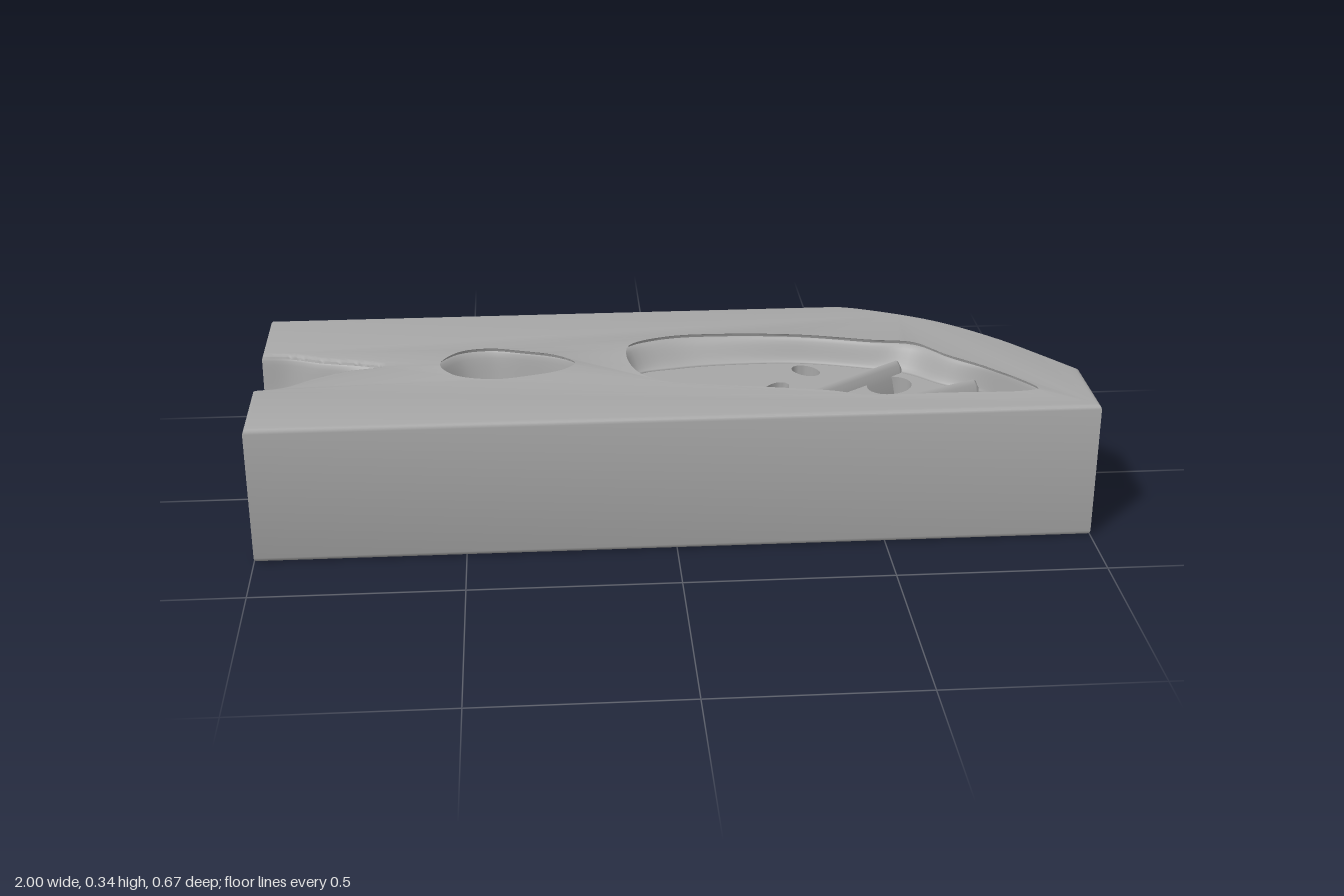
import * as THREE from 'three';
import { toCreasedNormals } from 'three/addons/utils/BufferGeometryUtils.js';

const HEIGHT = 0.345, MID = HEIGHT / 2, BEVEL = 0.012;
const v2 = ([x, z]) => new THREE.Vector2(x, -z); // plan (x, z) to shape space

// Smooth plan curve through a few points, sampled by parameter so paired curves correspond
function smooth(points, closed, n = 96) {
  const curve = new THREE.CatmullRomCurve3(points.map(([x, z]) => new THREE.Vector3(x, 0, z)), closed, 'centripetal');
  const out = [];
  for (let i = 0; i < (closed ? n : n + 1); i++) {
    const p = curve.getPoint(i / n);
    out.push([p.x, p.z]);
  }
  return out;
}

function ellipse(cx, cz, rx, rz, angle = 0) {
  return Array.from({ length: 24 }, (_, i) => {
    const a = i / 24 * Math.PI * 2, u = rx * Math.cos(a), w = rz * Math.sin(a);
    return [cx + u * Math.cos(angle) - w * Math.sin(angle), cz + u * Math.sin(angle) + w * Math.cos(angle)];
  });
}

// Upright slab centred on mid height, with through holes
function slab(outline, holes, half, bevel) {
  const shape = new THREE.Shape(outline.map(v2));
  holes.forEach(h => shape.holes.push(new THREE.Path(h.map(v2))));
  const depth = 2 * (half - bevel);
  const geo = new THREE.ExtrudeGeometry(shape, {
    depth, bevelEnabled: bevel > 0, bevelThickness: bevel, bevelSize: bevel, bevelOffset: -bevel, bevelSegments: 3
  });
  geo.translate(0, 0, -depth / 2).rotateX(-Math.PI / 2).translate(0, MID, 0);
  return toCreasedNormals(geo, 0.6);
}

// Soft wall from the top rim in to the web edge, down it, and out to the bottom rim
function pocketWall(rim, inner, closed, webHalf) {
  const n = rim.length, steps = 8, rings = [], top = MID - BEVEL;
  for (let k = 0; k <= steps; k++) {
    const s = k / steps;
    rings.push([s, top + (webHalf - top) * s * s * (3 - 2 * s)]);
  }
  for (let k = steps; k >= 0; k--) rings.push([rings[k][0], -rings[k][1]]);
  const pos = [], index = [];
  rings.forEach(([s, y]) => rim.forEach(([x, z], i) =>
    pos.push(x + (inner[i][0] - x) * s, MID + y, z + (inner[i][1] - z) * s)));
  for (let k = 0; k < rings.length - 1; k++) {
    for (let i = 0; i < (closed ? n : n - 1); i++) {
      const a = k * n + i, b = k * n + (i + 1) % n;
      index.push(a, b, a + n, b, b + n, a + n);
    }
  }
  const geo = new THREE.BufferGeometry();
  geo.setAttribute('position', new THREE.Float32BufferAttribute(pos, 3));
  geo.setIndex(index);
  geo.computeVertexNormals();
  return geo;
}

export function createModel() {
  const group = new THREE.Group();
  const grey = new THREE.MeshStandardMaterial({ color: 0xa6a6a6, side: THREE.DoubleSide });
  grey.name = 'grey';
  const add = (name, geo) => {
    const mesh = new THREE.Mesh(geo, grey);
    mesh.name = name;
    group.add(mesh);
    return mesh;
  };

  // Notch in the left end: face rim and narrower throat
  const notchRim = smooth([[-1, 0.105], [-0.93, 0.09], [-0.86, 0.04], [-0.78, 0.0], [-0.7, -0.022],
    [-0.75, -0.045], [-0.85, -0.07], [-0.93, -0.1], [-1, -0.105]], false);
  const notchThroat = smooth([[-1, 0.09], [-0.94, 0.075], [-0.88, 0.035], [-0.82, 0.005], [-0.788, -0.012],
    [-0.815, -0.03], [-0.88, -0.055], [-0.94, -0.085], [-1, -0.095]], false);

  // Small oval pocket
  const smallRim = smooth([[-0.57, -0.02], [-0.52, -0.1], [-0.44, -0.12], [-0.36, -0.1], [-0.26, -0.06],
    [-0.215, -0.005], [-0.25, 0.045], [-0.34, 0.08], [-0.43, 0.095], [-0.53, 0.06]], true);
  const smallInner = smooth([[-0.52, -0.01], [-0.49, -0.065], [-0.44, -0.087], [-0.36, -0.08], [-0.275, -0.05],
    [-0.222, -0.005], [-0.262, 0.04], [-0.35, 0.072], [-0.43, 0.078], [-0.5, 0.045]], true);
  const teardrop = smooth([[-0.4, 0], [-0.38, -0.055], [-0.33, -0.066], [-0.28, -0.045], [-0.23, -0.005],
    [-0.27, 0.036], [-0.33, 0.06], [-0.38, 0.045]], true, 40);

  // Large pocket under the curved end
  const largeRim = smooth([[-0.1, -0.11], [0, -0.165], [0.15, -0.175], [0.35, -0.155], [0.52, -0.11], [0.63, -0.085],
    [0.7, 0], [0.79, 0.09], [0.885, 0.23], [0.85, 0.25], [0.65, 0.25], [0.45, 0.248], [0.38, 0.22],
    [0.24, 0.19], [0.1, 0.165], [-0.03, 0.13], [-0.095, 0.05]], true);
  const largeInner = smooth([[-0.07, -0.08], [0.04, -0.115], [0.17, -0.13], [0.35, -0.125], [0.5, -0.085], [0.6, -0.045],
    [0.68, 0.03], [0.785, 0.095], [0.87, 0.225], [0.845, 0.243], [0.65, 0.243], [0.46, 0.24], [0.38, 0.19],
    [0.24, 0.16], [0.12, 0.12], [0.02, 0.09], [-0.06, 0.03]], true);
  const triangle = [[0.47, 0.232], [0.74, 0.1], [0.775, 0.106], [0.855, 0.222], [0.84, 0.235]];

  // Body: straight beam with a curved upper right end
  const nose = smooth([[0.47, -0.335], [0.53, -0.315], [0.7, -0.225], [0.84, -0.095], [0.93, 0.02], [1, 0.115]], false, 32);
  const outline = [[-1, -0.335], ...nose, [1, 0.335], [-1, 0.335], ...notchRim];
  add('body', slab(outline, [smallRim, largeRim], MID, BEVEL));
  add('notchWall', pocketWall(notchRim, notchThroat, false, 0.07));

  // Pocket walls and their pierced webs
  add('smallPocketWall', pocketWall(smallRim, smallInner, true, 0.06));
  add('smallPocketWeb', slab(smallInner,
    [teardrop, ellipse(-0.44, -0.069, 0.022, 0.009, 0.15), ellipse(-0.445, 0.06, 0.022, 0.009, -0.1)], 0.06, 0));
  add('largePocketWall', pocketWall(largeRim, largeInner, true, 0.1));
  add('largePocketWeb', slab(largeInner, [triangle,
    ellipse(0.355, -0.08, 0.04, 0.028, 0.8), ellipse(0.27, 0.022, 0.04, 0.026, -0.9),
    ellipse(0.55, 0.025, 0.06, 0.05, -0.6), ellipse(0.415, 0.12, 0.052, 0.03, -0.4)], 0.1, 0));

  // Rounded diagonal struts standing proud of the web
  [[0.25, 0.175, 0.58, -0.06], [0.46, 0.2, 0.75, 0.07]].forEach(([x1, z1, x2, z2]) => {
    const geo = new THREE.CapsuleGeometry(0.026, Math.hypot(x2 - x1, z2 - z1), 6, 16);
    geo.rotateZ(Math.PI / 2).scale(1, 5, 1);
    const strut = add('strut', geo);
    strut.position.set((x1 + x2) / 2, MID, (z1 + z2) / 2);
    strut.rotation.y = -Math.atan2(z2 - z1, x2 - x1);
  });
  return group;
}
